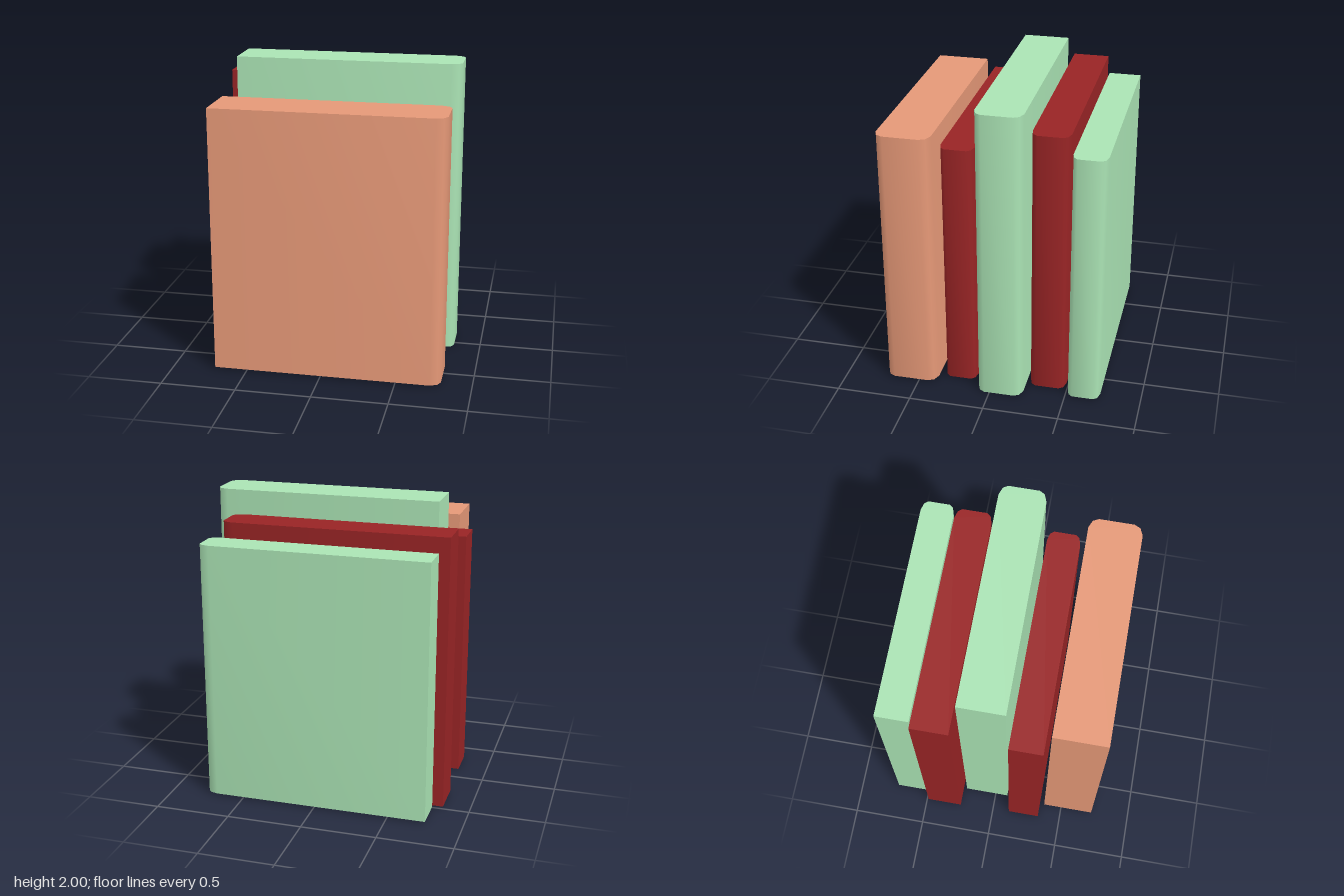
import * as THREE from 'three';
import { toCreasedNormals } from 'three/addons/utils/BufferGeometryUtils.js';

const LENGTH = 1.51;
const GREEN = 0xaae3b4, RED = 0x982425, ORANGE = 0xe59877;

// Closed book: flat fore edge at -x, spine with rounded corners at +x
function bookGeometry(thickness, height) {
  const l = LENGTH / 2, t = thickness / 2;
  const side = [[-l, t], [l - 0.07, t], [l - 0.02, t * 0.88], [l, t * 0.66]];
  const outline = [...side.map(([x, z]) => [x, -z]), ...side.reverse()];
  const shape = new THREE.Shape(outline.map(([x, z]) => new THREE.Vector2(x, z)));
  const geometry = new THREE.ExtrudeGeometry(shape, { depth: height, bevelEnabled: false });
  geometry.rotateX(-Math.PI / 2);
  return toCreasedNormals(geometry, Math.PI / 3);
}

export function createModel() {
  const group = new THREE.Group();
  group.name = 'bookRow';

  // Books from back to front: x centre, back and front z, bottom and top y
  const books = [
    { name: 'backGreenBook', x: 0, z: [-0.73, -0.51], y: [0.01, 1.74], color: GREEN },
    { name: 'backRedBook', x: -0.068, z: [-0.488, -0.243], y: [0.01, 1.84], color: RED },
    { name: 'middleGreenBook', x: 0.065, z: [-0.22, 0.088], y: [0, 2], color: GREEN },
    { name: 'frontRedBook', x: -0.053, z: [0.12, 0.34], y: [0.005, 1.7], color: RED },
    { name: 'frontOrangeBook', x: 0.042, z: [0.373, 0.728], y: [0.015, 1.79], color: ORANGE },
  ];

  for (const { name, x, z, y, color } of books) {
    const book = new THREE.Mesh(
      bookGeometry(z[1] - z[0], y[1] - y[0]),
      new THREE.MeshStandardMaterial({ color })
    );
    book.name = name;
    book.position.set(x, y[0], (z[0] + z[1]) / 2);
    group.add(book);
  }
  return group;
}
